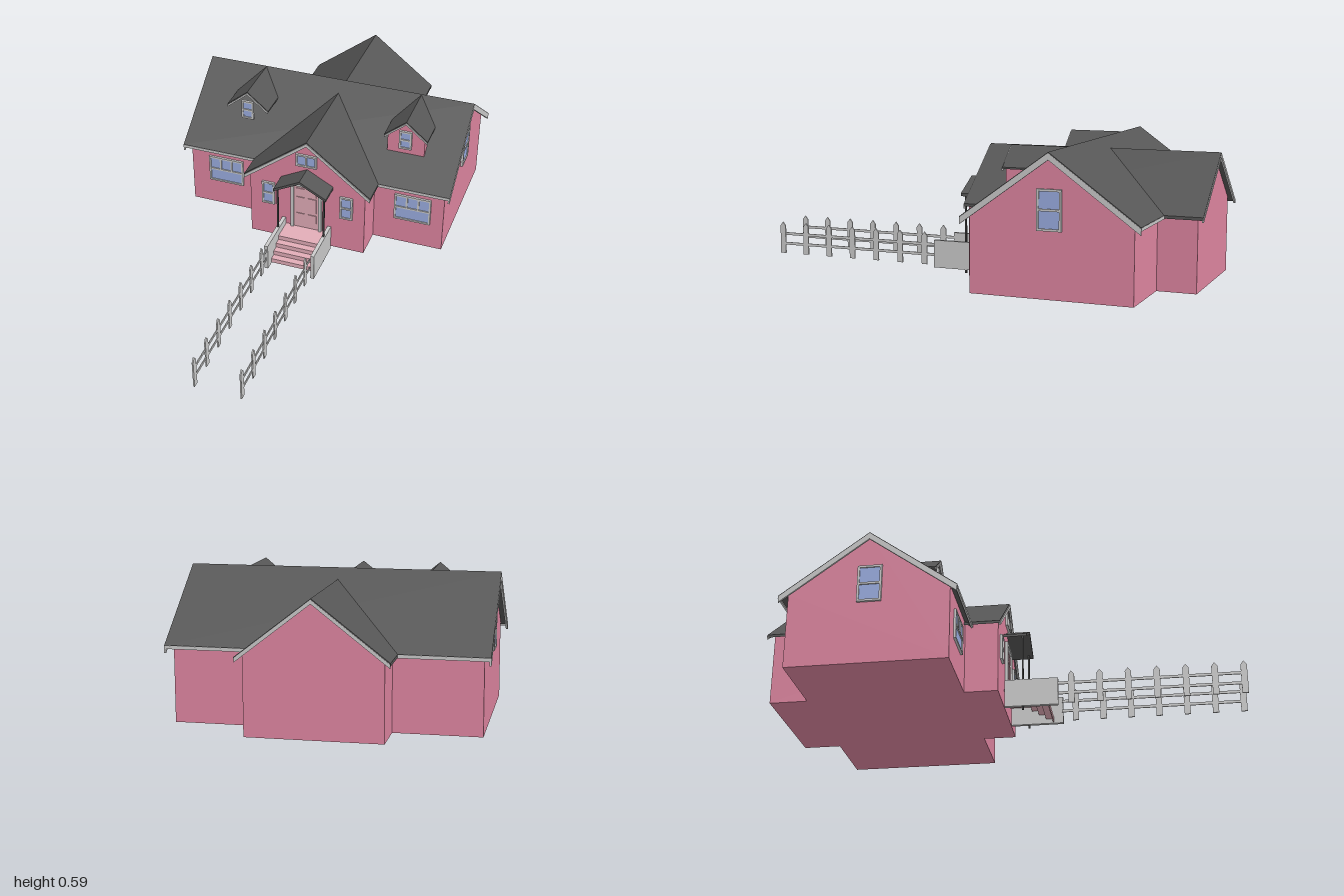
import * as THREE from 'three';

const mat = (color, side = THREE.FrontSide) =>
  new THREE.MeshStandardMaterial({ color, side, flatShading: true });

export function createModel() {
  const root = new THREE.Group();
  const M = {
    wall: mat(0xdf86a1), roof: mat(0x565656, THREE.DoubleSide), trim: mat(0xcccccc),
    glass: mat(0x9baee2), pale: mat(0xe2adb8), dark: mat(0x444444),
  };
  const add = (parent, name, geo, material, x = 0, y = 0, z = 0) => {
    const m = new THREE.Mesh(geo, material);
    m.name = name;
    m.position.set(x, y, z);
    parent.add(m);
    return m;
  };
  const group = (name, x = 0, y = 0, z = 0, ry = 0, parent = root) => {
    const g = new THREE.Group();
    g.name = name;
    g.position.set(x, y, z);
    g.rotation.y = ry;
    parent.add(g);
    return g;
  };
  // box given by its min and max corners
  const box = (parent, name, material, [x0, x1], [y0, y1], [z0, z1]) =>
    add(parent, name, new THREE.BoxGeometry(x1 - x0, y1 - y0, z1 - z0), material,
      (x0 + x1) / 2, (y0 + y1) / 2, (z0 + z1) / 2);
  // outline in x/y, extruded from z0 to z1
  const prism = (parent, name, material, pts, z0, z1) => {
    const shape = new THREE.Shape(pts.map(p => new THREE.Vector2(...p)));
    const geo = new THREE.ExtrudeGeometry(shape, { depth: z1 - z0, bevelEnabled: false });
    return add(parent, name, geo, material, 0, 0, z0);
  };
  // inverted V of half width w, centred on x = 0, t thick measured vertically
  const chevron = (w, eave, peak, t) => [
    [-w, eave - t], [0, peak - t], [w, eave - t], [w, eave], [0, peak], [-w, eave]];
  // gabled roof with rake boards at the chosen ends
  const gableRoof = (parent, w, eave, peak, z0, z1, t, board, ends) => {
    prism(parent, 'roof', M.roof, chevron(w, eave, peak, t), z0, z1);
    for (const z of ends)
      prism(parent, 'rakeBoard', M.trim, chevron(w - 0.001, eave - 0.004, peak - 0.004, board),
        z - 0.004, z + 0.004);
  };
  const gableWall = (parent, w, bottom, eave, peak, z0, z1) =>
    prism(parent, 'walls', M.wall, [[-w, bottom], [w, bottom], [w, eave], [0, peak], [-w, eave]], z0, z1);

  // window facing local +z; rows run bottom to top as [pane count, height share]
  const makeWindow = (name, x, y, z, w, h, rows, ry = 0, bar = 0.008) => {
    const g = group(name, x, y, z, ry);
    const frame = new THREE.Shape([[-w, -h], [w, -h], [w, h], [-w, h]]
      .map(p => new THREE.Vector2(p[0] / 2, p[1] / 2)));
    const free = h - bar * (rows.length + 1);
    let y0 = -h / 2 + bar;
    for (const [count, share] of rows) {
      const pw = (w - bar * (count + 1)) / count, ph = free * share;
      for (let i = 0; i < count; i++) {
        const x0 = -w / 2 + bar + i * (pw + bar);
        frame.holes.push(new THREE.Path([[x0, y0], [x0, y0 + ph], [x0 + pw, y0 + ph], [x0 + pw, y0]]
          .map(p => new THREE.Vector2(...p))));
      }
      y0 += ph + bar;
    }
    add(g, 'frame', new THREE.ExtrudeGeometry(frame, { depth: 0.012, bevelEnabled: false }), M.trim, 0, 0, -0.002);
    add(g, 'glass', new THREE.BoxGeometry(w - bar, h - bar, 0.006), M.glass, 0, 0, 0.002);
  };

  // main house, ridge along x
  const main = group('mainHouse', 0, 0, -0.48, Math.PI / 2);
  gableWall(main, 0.33, 0.025, 0.345, 0.583, -0.59, 0.59);
  gableRoof(main, 0.362, 0.33, 0.592, -0.617, 0.617, 0.014, 0.026, [-0.614, 0.614]);
  for (const s of [-1, 1])
    box(main, 'eaveBoard', M.trim, [s * 0.359 - 0.004, s * 0.359 + 0.004], [0.316, 0.329], [-0.617, 0.617]);

  // cross wing running front to back
  const wing = group('crossWing', 0.0125);
  gableWall(wing, 0.263, 0.025, 0.34, 0.545, -0.97, -0.01);
  gableRoof(wing, 0.288, 0.33, 0.553, -0.996, 0, 0.012, 0.016, [-0.994, 0]);

  // dormers: the left one is walled, the right one is open under its roof
  for (const [x, walled] of [[0.38, true], [-0.35, false]]) {
    const d = group('dormer', x);
    if (walled) gableWall(d, 0.083, 0.425, 0.515, 0.58, -0.45, -0.25);
    gableRoof(d, 0.097, 0.51, 0.59, -0.475, -0.24, 0.007, 0.009, [-0.24]);
    makeWindow('dormerWindow', x - 0.002, 0.495, -0.25, 0.056, 0.088, [[1, 0.5], [1, 0.5]]);
  }

  // house windows
  const pair = [[1, 0.5], [1, 0.5]];
  for (const x of [-0.423, 0.451])
    makeWindow('wideWindow', x, 0.214, -0.15, 0.164, 0.128, [[1, 0.5], [3, 0.5]]);
  for (const x of [-0.165, 0.193])
    makeWindow('narrowWindow', x, 0.25, -0.01, 0.058, 0.112, pair);
  makeWindow('gableWindow', 0.01, 0.455, -0.01, 0.093, 0.06, [[2, 1]]);
  for (const s of [-1, 1])
    makeWindow('sideWindow', s * 0.59, 0.37, -0.477, 0.1, 0.16, pair, s * Math.PI / 2, 0.009);

  // front door with raised panels
  const door = group('frontDoor', 0.0115);
  prism(door, 'doorFrame', M.trim, [[-0.071, 0.1], [-0.057, 0.1], [-0.057, 0.321], [0.057, 0.321],
    [0.057, 0.1], [0.071, 0.1], [0.071, 0.335], [-0.071, 0.335]], -0.015, 0.004);
  box(door, 'doorLeaf', M.pale, [-0.057, 0.057], [0.1, 0.321], [-0.015, -0.005]);
  for (const s of [-1, 1])
    for (const [y0, y1] of [[0.115, 0.175], [0.187, 0.262], [0.274, 0.308]])
      box(door, 'doorPanel', M.pale, [s * 0.027 - 0.019, s * 0.027 + 0.019], [y0, y1], [-0.006, -0.002]);

  // porch canopy on thin posts
  const porch = group('porch', 0.0125);
  prism(porch, 'canopy', M.roof, chevron(0.119, 0.346, 0.41, 0.012), -0.01, 0.09);
  for (const s of [-1, 1]) {
    box(porch, 'post', M.dark, [s * 0.105 - 0.0035, s * 0.105 + 0.0035], [0, 0.35], [0.068, 0.075]);
    box(porch, 'stairSide', M.trim, [s * 0.105 - 0.008, s * 0.105 + 0.008], [0.015, 0.135], [-0.005, 0.22]);
  }

  // landing and open-backed stairs
  box(porch, 'landing', M.pale, [-0.098, 0.098], [0.094, 0.1], [-0.01, 0.09]);
  for (let i = 0; i < 4; i++) {
    const top = 0.1 - i * 0.02, z = 0.09 + i * 0.03;
    box(porch, 'riser', M.pale, [-0.098, 0.098], [top - 0.02, top], [z - 0.005, z]);
    if (i < 3) box(porch, 'tread', M.pale, [-0.098, 0.098], [top - 0.025, top - 0.02], [z - 0.005, z + 0.03]);
  }

  // picket fences along the path
  for (const x of [-0.092, 0.105]) {
    const fence = group('fence', x, 0, 0);
    for (const y of [0.067, 0.112])
      box(fence, 'rail', M.trim, [-0.002, 0.002], [y - 0.006, y + 0.006], [0.215, 0.99]);
    for (let i = 0; i < 7; i++) {
      const picket = prism(fence, 'picket', M.trim,
        [[-0.013, 0.022], [0.013, 0.022], [0.013, 0.148], [0, 0.165], [-0.013, 0.148]], 0, 0.006);
      picket.rotation.y = Math.PI / 2;
      picket.position.set(-0.003, 0, 0.987 - i * 0.1187);
    }
  }
  return root;
}
